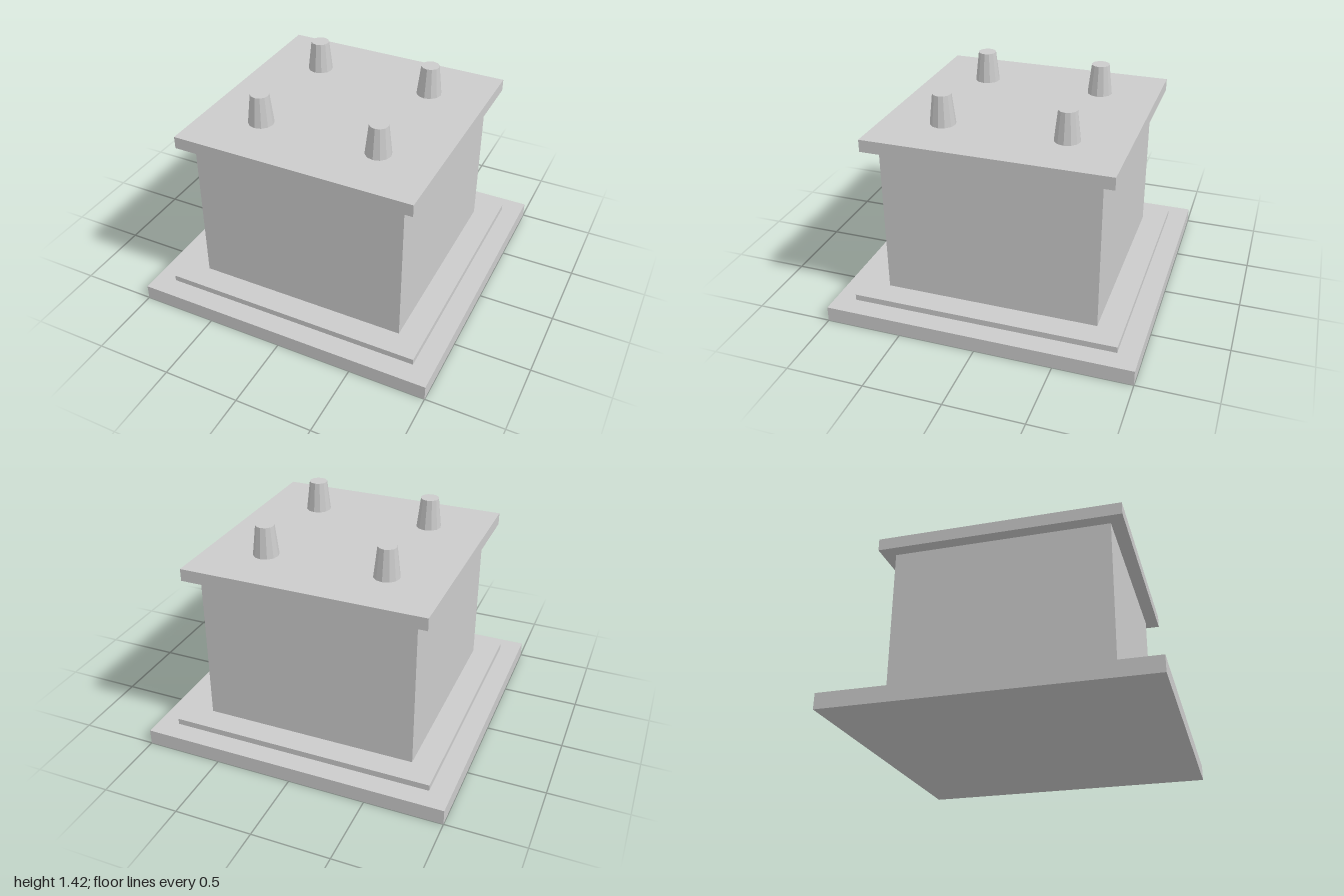
import * as THREE from 'three';

export function createModel() {
  const model = new THREE.Group();
  const material = new THREE.MeshStandardMaterial({ color: 0xcccccc, flatShading: true });

  // Square slab of a given width, spanning bottom to top
  function slab(name, width, bottom, top) {
    const mesh = new THREE.Mesh(new THREE.BoxGeometry(width, top - bottom, width), material);
    mesh.name = name;
    mesh.position.y = (bottom + top) / 2;
    model.add(mesh);
  }

  // Stepped base, block and overhanging cap
  slab('basePlate', 2, 0, 0.1);
  slab('baseStep', 1.73, 0.1, 0.14);
  slab('body', 1.4, 0.14, 1.14);
  slab('capPlate', 1.57, 1.14, 1.22);

  // Four tapered pegs on the cap
  const pegGeometry = new THREE.CylinderGeometry(0.06, 0.083, 0.2, 12);
  for (const x of [-0.4, 0.4]) {
    for (const z of [-0.4, 0.4]) {
      const peg = new THREE.Mesh(pegGeometry, material);
      peg.name = `${z > 0 ? 'front' : 'back'}${x > 0 ? 'Left' : 'Right'}Peg`;
      peg.position.set(x, 1.32, z);
      model.add(peg);
    }
  }

  return model;
}
